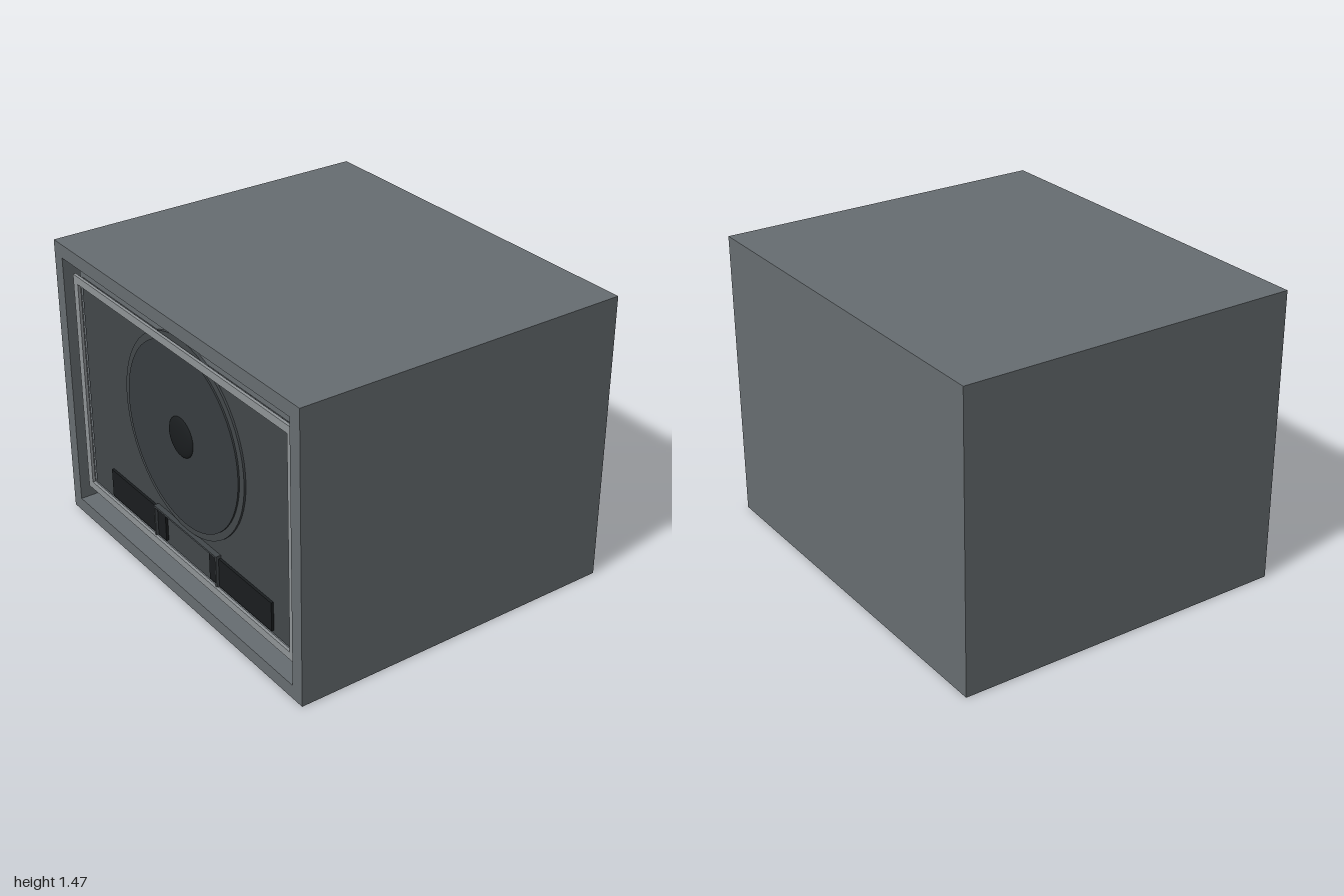
import * as THREE from 'three';

const W = 2, H = 1.47, D = 1.71, ZF = D / 2;
const SPEAKER_Y = 0.85;

const mat = (color) => new THREE.MeshStandardMaterial({ color });
const body = mat(0x676d71), dark = mat(0x42474a), light = mat(0x8f9497);
const coneGrey = mat(0x383d40), black = mat(0x1a1d1f);

export function createModel() {
  const group = new THREE.Group();

  const add = (name, geometry, material) => {
    const mesh = new THREE.Mesh(geometry, material);
    mesh.name = name;
    group.add(mesh);
    return mesh;
  };

  // Box between two corners; depths are measured back from the cabinet front
  const block = (name, x0, x1, y0, y1, front, back, material) =>
    add(name, new THREE.BoxGeometry(x1 - x0, y1 - y0, back - front), material)
      .position.set((x0 + x1) / 2, (y0 + y1) / 2, ZF - (front + back) / 2);

  const rectPoints = (hw, y0, y1) => [[-hw, y0], [hw, y0], [hw, y1], [-hw, y1]]
    .map(([x, y]) => new THREE.Vector2(x, y));

  // Rectangular frame with an open middle; outer and inner are [halfWidth, y0, y1]
  const frame = (name, outer, inner, front, back, material) => {
    const shape = new THREE.Shape(rectPoints(...outer));
    shape.holes.push(new THREE.Path(rectPoints(...inner).reverse()));
    const geometry = new THREE.ExtrudeGeometry(shape, { depth: back - front, bevelEnabled: false });
    add(name, geometry, material).position.z = ZF - back;
  };

  // Disc facing forward on the speaker axis
  const disc = (name, radius, front, back, material) => {
    const geometry = new THREE.CylinderGeometry(radius, radius, back - front, 64).rotateX(Math.PI / 2);
    add(name, geometry, material).position.set(0, SPEAKER_Y, ZF - (front + back) / 2);
  };

  // Cabinet: solid body with a raised rim around the recessed front
  block('cabinetBody', -W / 2, W / 2, 0, H, 0.1, D, body);
  frame('cabinetRim', [W / 2, 0, H], [0.93, 0.07, 1.4], 0, 0.1, body);
  block('recessFloor', -0.93, 0.93, 0.07, 1.4, 0.095, 0.1, dark);

  // Baffle board with its dark facing and the trim around it
  block('baffleBoard', -0.905, 0.905, 0.1, 1.375, 0.075, 0.095, body);
  block('baffleFace', -0.88, 0.88, 0.17, 1.3, 0.07, 0.075, dark);
  frame('trimFrame', [0.9, 0.15, 1.32], [0.86, 0.19, 1.28], 0.035, 0.05, light);

  // Loudspeaker: rim, cone and domed dust cap
  disc('speakerRim', 0.495, 0.06, 0.075, dark);
  disc('speakerCone', 0.46, 0.052, 0.06, coneGrey);
  const cap = add('dustCap',
    new THREE.SphereGeometry(0.1, 32, 10, 0, Math.PI * 2, 0, Math.PI / 2).rotateX(Math.PI / 2), black);
  cap.scale.z = 0.2;
  cap.position.set(0, SPEAKER_Y, ZF - 0.052);

  // Bass ports on each side of the central bracket
  for (const s of [-1, 1]) {
    const pair = (a, b) => (s > 0 ? [a, b] : [-b, -a]);
    block('outerPort', ...pair(0.27, 0.69), 0.19, 0.34, 0.057, 0.07, black);
    block('innerPort', ...pair(0.19, 0.26), 0.19, 0.34, 0.057, 0.07, black);
    block('bracketSide', ...pair(0.26, 0.27), 0.19, 0.345, 0.043, 0.07, dark);
  }
  block('bracketTop', -0.27, 0.27, 0.345, 0.355, 0.043, 0.07, dark);

  return group;
}
